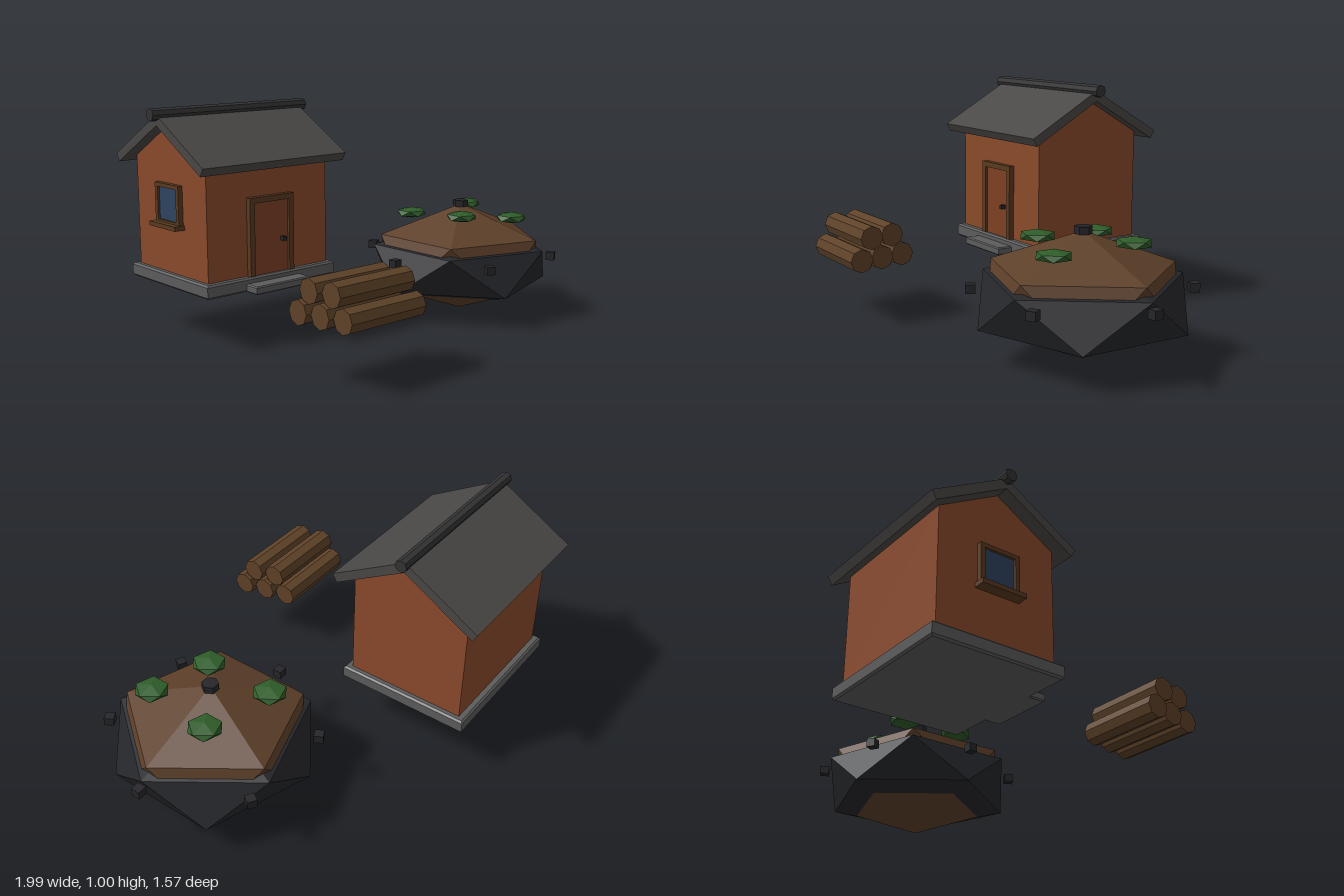
import * as THREE from 'three';
import { ConvexGeometry } from 'three/addons/geometries/ConvexGeometry.js';

const mat = (color) => new THREE.MeshStandardMaterial({ color, flatShading: true });
const M = {
  wall: mat(0x8b4a2b), roof: mat(0x4a4846), ridge: mat(0x333333), stone: mat(0x5c5c5c),
  frame: mat(0x5a3a20), door: mat(0x7e4022), glass: mat(0x2f4460), iron: mat(0x26262a),
  log: mat(0x5f4228), rock: mat(0x26272b), soil: mat(0x5e402a), leaf: mat(0x2f5d2a),
};

function add(parent, name, geo, material, x = 0, y = 0, z = 0) {
  const mesh = new THREE.Mesh(geo, material);
  mesh.name = name;
  mesh.position.set(x, y, z);
  parent.add(mesh);
  return mesh;
}
const box = (parent, name, material, w, h, d, x, y, z) =>
  add(parent, name, new THREE.BoxGeometry(w, h, d), material, x, y, z);

// Cross-section in (z, y), extruded along x and centred
function prism(points, length) {
  const shape = new THREE.Shape(points.map(([z, y]) => new THREE.Vector2(z, y)));
  const geo = new THREE.ExtrudeGeometry(shape, { depth: length, bevelEnabled: false });
  return geo.translate(0, 0, -length / 2).rotateY(Math.PI / 2);
}

// Twenty-sided solid standing on a pole: two rings of five plus two tips
function gem(radius, halfHeight) {
  const pts = [new THREE.Vector3(0, halfHeight, 0), new THREE.Vector3(0, -halfHeight, 0)];
  for (let i = 0; i < 10; i++) {
    const a = THREE.MathUtils.degToRad(6 + 36 * i);
    const y = (i % 2 ? 1 : -1) * 0.447 * halfHeight;
    pts.push(new THREE.Vector3(Math.cos(a) * radius * 0.894, y, Math.sin(a) * radius * 0.894));
  }
  return new ConvexGeometry(pts);
}

// Slab with a narrow chamfer on its edges
function slab(w, h, d, c) {
  const x = w / 2 - c, z = d / 2 - c;
  const shape = new THREE.Shape([[-x, -z], [x, -z], [x, z], [-x, z]].map((p) => new THREE.Vector2(...p)));
  const geo = new THREE.ExtrudeGeometry(shape, {
    depth: h - 2 * c, bevelEnabled: true, bevelSize: c, bevelThickness: c, bevelSegments: 1,
  });
  return geo.translate(0, 0, -(h - 2 * c) / 2).rotateX(-Math.PI / 2);
}

function makeHouse() {
  const house = new THREE.Group();
  house.name = 'house';
  add(house, 'foundation', slab(0.69, 0.06, 0.59, 0.008), M.stone, 0, 0.26, 0);
  add(house, 'doorStep', slab(0.29, 0.035, 0.09, 0.005), M.stone, 0, 0.2475, 0.32);

  // Walls with gables
  add(house, 'walls', prism([[-0.265, 0.285], [0.265, 0.285], [0.265, 0.782], [0, 0.935], [-0.265, 0.782]], 0.64), M.wall);

  // Roof and ridge beam
  for (const s of [1, -1]) {
    const pts = [[0, 0.978], [0, 0.932], [0.315, 0.75], [0.335, 0.785]].map(([z, y]) => [s * z, y]);
    add(house, 'roofSlope', prism(pts, 0.76), M.roof);
  }
  add(house, 'ridgeBeam', new THREE.CylinderGeometry(0.027, 0.027, 0.82, 8), M.ridge, 0, 0.978, 0)
    .rotation.z = Math.PI / 2;

  // Door
  box(house, 'door', M.door, 0.19, 0.32, 0.02, 0, 0.45, 0.268);
  for (const s of [1, -1]) box(house, 'doorJamb', M.frame, 0.025, 0.34, 0.035, s * 0.105, 0.46, 0.272);
  box(house, 'doorLintel', M.frame, 0.235, 0.025, 0.035, 0, 0.6175, 0.272);
  box(house, 'doorHandle', M.iron, 0.018, 0.018, 0.025, 0.06, 0.435, 0.288);

  // Window in the gable
  box(house, 'windowPane', M.glass, 0.02, 0.15, 0.15, -0.322, 0.593, 0);
  for (const s of [1, -1]) {
    box(house, 'windowSide', M.frame, 0.03, 0.175, 0.02, -0.327, 0.593, s * 0.08);
    box(house, 'windowRail', M.frame, 0.03, 0.018, 0.18, -0.327, 0.593 + s * 0.08, 0);
  }
  box(house, 'windowSill', M.frame, 0.055, 0.02, 0.2, -0.342, 0.503, 0);
  house.position.set(-0.5, 0, -0.29);
  house.rotation.y = Math.PI / 6;
  return house;
}

function makeLogPile() {
  const pile = new THREE.Group();
  pile.name = 'logPile';
  // Three logs below, two above, each shifted a little lengthwise
  for (let i = -2; i <= 2; i++) {
    const z = i * 0.0525;
    const log = add(pile, 'log', new THREE.CylinderGeometry(0.052, 0.052, 0.386, 8), M.log,
      z * 0.2, i % 2 ? 0.375 : 0.283, z);
    log.rotation.z = Math.PI / 2;
  }
  pile.position.set(-0.11, 0, 0.557);
  pile.rotation.y = Math.PI / 6;
  return pile;
}

function makeIsland() {
  const island = new THREE.Group();
  island.name = 'rockIsland';
  add(island, 'rockShell', gem(0.462, 0.2), M.rock, 0, 0.23, 0);
  add(island, 'soilMound', gem(0.425, 0.253), M.soil, 0, 0.253, 0);
  add(island, 'topCap', new THREE.CylinderGeometry(0.035, 0.035, 0.03, 6), M.iron, 0, 0.51, 0);

  // Pegs floating around the rim
  for (let i = 0; i < 6; i++) {
    const a = Math.PI / 2 + (i * Math.PI) / 3;
    box(island, 'rimPeg', M.iron, 0.04, 0.036, 0.04, Math.cos(a) * 0.43, 0.283, Math.sin(a) * 0.43)
      .rotation.y = Math.PI / 2 - a;
  }

  // Flat shrubs
  for (const [x, y, z] of [[-0.22, 0.46, -0.075], [0.085, 0.475, -0.18], [-0.05, 0.477, 0.17], [0.205, 0.455, 0.13]])
    add(island, 'shrub', gem(0.076, 0.026), M.leaf, x, y, z);
  island.position.set(0.585, 0, -0.34);
  return island;
}

export function createModel() {
  const model = new THREE.Group();
  model.name = 'cottageScene';
  model.add(makeHouse(), makeLogPile(), makeIsland());
  return model;
}
